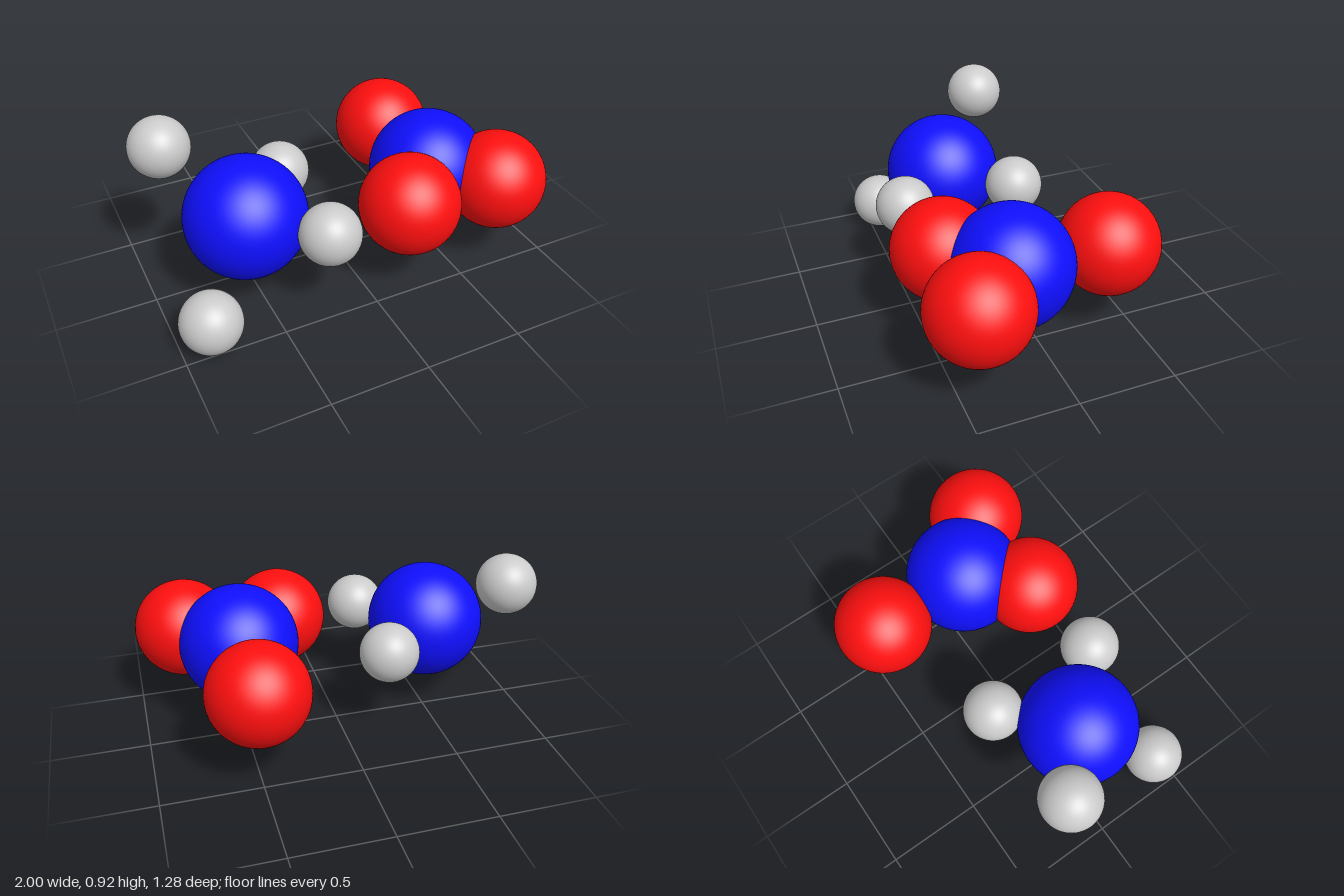
import * as THREE from 'three';

// All radii and bond offsets are whole multiples of one unit; the model is 39 units wide.
const U = 2 / 39;

const KINDS = {
  nitrogen: { radius: 6, color: 0x0f0fff },
  oxygen: { radius: 5, color: 0xff0f0f },
  hydrogen: { radius: 3, color: 0xcccccc },
};
for (const kind of Object.values(KINDS)) {
  kind.geometry = new THREE.SphereGeometry(kind.radius * U, 64, 40);
  kind.material = new THREE.MeshStandardMaterial({ color: kind.color });
}

function atom(kindName, name, x = 0, y = 0, z = 0) {
  const { geometry, material } = KINDS[kindName];
  const mesh = new THREE.Mesh(geometry, material);
  mesh.name = name;
  mesh.position.set(x, y, z).multiplyScalar(U);
  return mesh;
}

// A central nitrogen with its neighbours at offsets given in units
function ion(name, neighbour, offsets) {
  const group = new THREE.Group();
  group.name = name;
  group.add(atom('nitrogen', 'nitrogenAtom'));
  offsets.forEach((p, i) => group.add(atom(neighbour, `${neighbour}Atom${i + 1}`, ...p)));
  return group;
}

export function createModel() {
  const model = new THREE.Group();
  model.name = 'moleculeModel';

  // Four hydrogens: two level on the left, one up-back and one down-front on the right
  const ammonium = ion('ammoniumIon', 'hydrogen', [
    [6, 0, 6], [6, 0, -6], [-6, 6, -6], [-6, -6, 6],
  ]);
  ammonium.position.set(-10.5 * U, 9 * U, 2.5 * U);

  // Three oxygens lying flat: two in front, one behind
  const nitrate = ion('nitrateIon', 'oxygen', [
    [-5, 0, 5], [5, 0, 5], [0, 0, -10],
  ]);
  nitrate.position.set(9.5 * U, 9 * U, 2.5 * U);

  model.add(ammonium, nitrate);
  return model;
}
